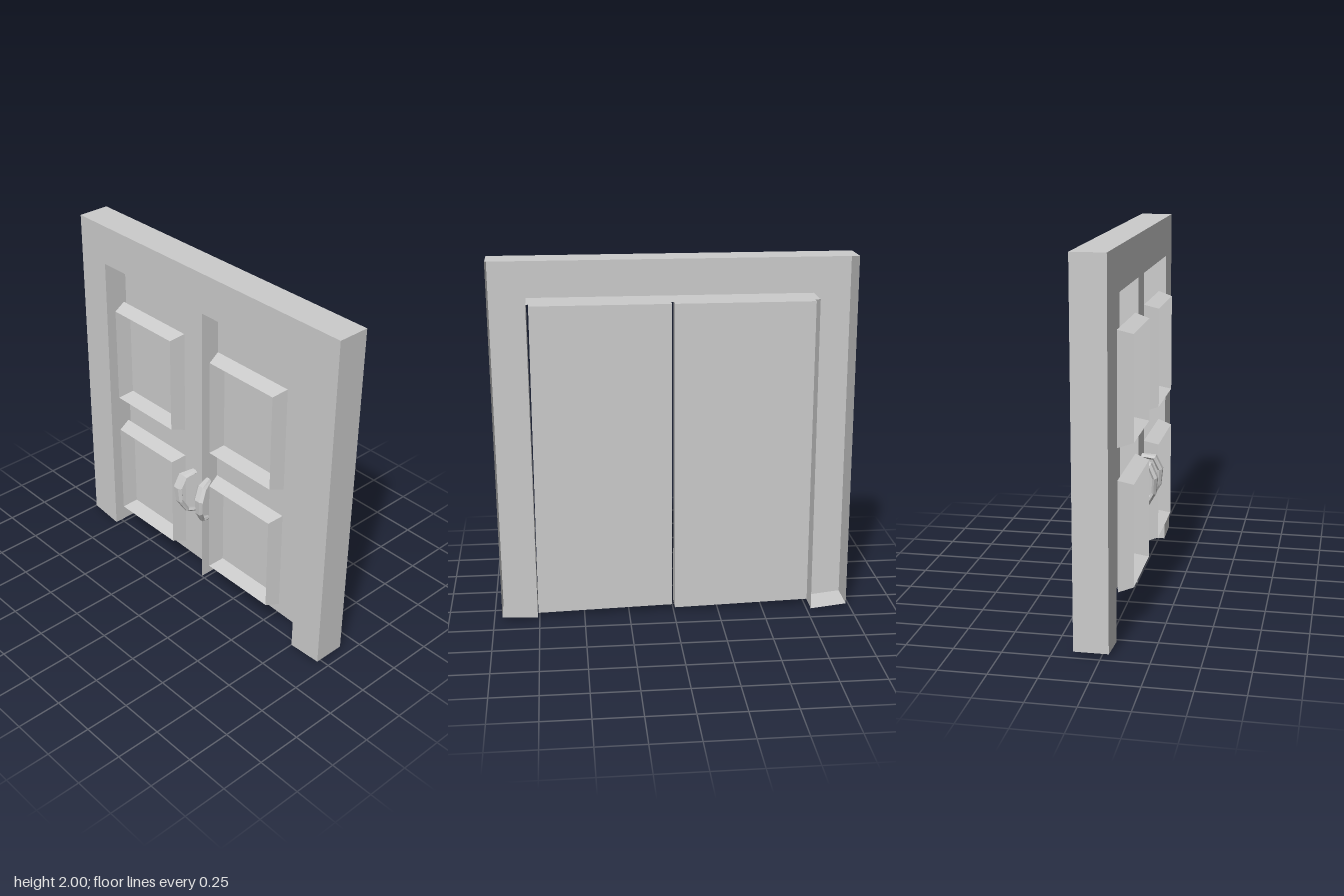
import * as THREE from 'three';

const stone = new THREE.MeshStandardMaterial({ color: 0xcccccc, side: THREE.DoubleSide, flatShading: true });
stone.name = 'plain grey';

// Mesh from flat polygons, each a short list of corner points
function polyMesh(name, polys) {
  const pos = [];
  for (const p of polys)
    for (let i = 1; i < p.length - 1; i++) pos.push(...p[0], ...p[i], ...p[i + 1]);
  const geo = new THREE.BufferGeometry();
  geo.setAttribute('position', new THREE.Float32BufferAttribute(pos, 3));
  geo.computeVertexNormals();
  const mesh = new THREE.Mesh(geo, stone);
  mesh.name = name;
  return mesh;
}

// Quads joining two closed rings of points
const bridge = (a, b) => a.map((p, i) => {
  const j = (i + 1) % a.length;
  return [p, a[j], b[j], b[i]];
});

const FRONT = 0.04, BACK = -0.14, DOOR_BACK = -0.09, DOOR_FRONT = 0.01;

// Open-backed surround: front face, all rim walls and one back gusset
function makeFrame() {
  const outline = [
    [-0.975, 0.025], [-0.775, 0.003], [-0.77, 1.775], [0.77, 1.775],
    [0.76, 0.015], [0.955, 0.025], [0.97, 2], [-0.97, 2],
  ];
  const at = (z) => outline.map(([x, y]) => [x, y, z]);
  const f = at(FRONT), b = at(BACK);
  return polyMesh('doorFrame', [
    [f[0], f[1], f[2], f[7]],
    [f[2], f[3], f[6], f[7]],
    [f[4], f[5], f[6], f[3]],
    ...bridge(b, f),
    [b[3], b[5], b[4]],
  ]);
}

// Door leaf: sheet with side and top returns
function makeDoor(name, x0, x1, y0, y1) {
  const top = 1.755;
  const at = (z) => [[x0, y0, z], [x0, top, z], [x1, top, z], [x1, y1, z]];
  const b = at(DOOR_BACK), f = at(DOOR_FRONT);
  return polyMesh(name, [[b[0], b[3], b[2], b[1]], ...bridge(b, f).slice(0, 3)]);
}

// Ridge-shaped moulding around a panel
function makeMoulding(cx, cy, w, h) {
  const ring = (inset, z) => {
    const a = w / 2 - inset, c = h / 2 - inset;
    return [[cx - a, cy - c, z], [cx + a, cy - c, z], [cx + a, cy + c, z], [cx - a, cy + c, z]];
  };
  const outer = ring(0, 0.02), ridge = ring(0.024, 0.1), inner = ring(0.046, 0.015);
  return polyMesh('panelMoulding', [...bridge(outer, ridge), ...bridge(ridge, inner)]);
}

// Bowed six-sided pull; side mirrors it
function makeHandle(side) {
  // x, y, z, half width, half thickness
  const path = [
    [0.058, 0.75, 0.02, 0.022, 0.012],
    [0.08, 0.738, 0.09, 0.034, 0.015],
    [0.088, 0.67, 0.121, 0.034, 0.015],
    [0.082, 0.58, 0.114, 0.028, 0.013],
    [0.064, 0.51, 0.075, 0.02, 0.012],
    [0.055, 0.49, 0.02, 0.014, 0.01],
  ];
  const rings = path.map(([x, y, z, w, t], i) => {
    const p = path[Math.max(0, i - 1)], n = path[Math.min(path.length - 1, i + 1)];
    const dy = n[1] - p[1], dz = n[2] - p[2], len = Math.hypot(dy, dz);
    return Array.from({ length: 6 }, (_, k) => {
      const a = (k * Math.PI) / 3, s = Math.sin(a) * t * 1.1;
      return [side * (x + Math.cos(a) * w), y + (s * dz) / len, z - (s * dy) / len];
    });
  });
  const polys = [rings[0].slice().reverse(), rings[rings.length - 1]];
  for (let i = 0; i < rings.length - 1; i++) polys.push(...bridge(rings[i], rings[i + 1]));
  return polyMesh(side > 0 ? 'leftHandle' : 'rightHandle', polys);
}

export function createModel() {
  const model = new THREE.Group();
  model.name = 'doubleDoor';
  model.add(
    makeFrame(),
    makeDoor('rightDoor', -0.76, -0.008, 0.04, 0.02),
    makeDoor('leftDoor', 0.008, 0.757, 0.04, 0.02),
  );
  // Two panels on each leaf
  for (const cx of [-0.388, 0.38])
    for (const cy of [0.515, 1.285]) model.add(makeMoulding(cx, cy, 0.505, 0.6));
  model.add(makeHandle(1), makeHandle(-1));
  return model;
}
